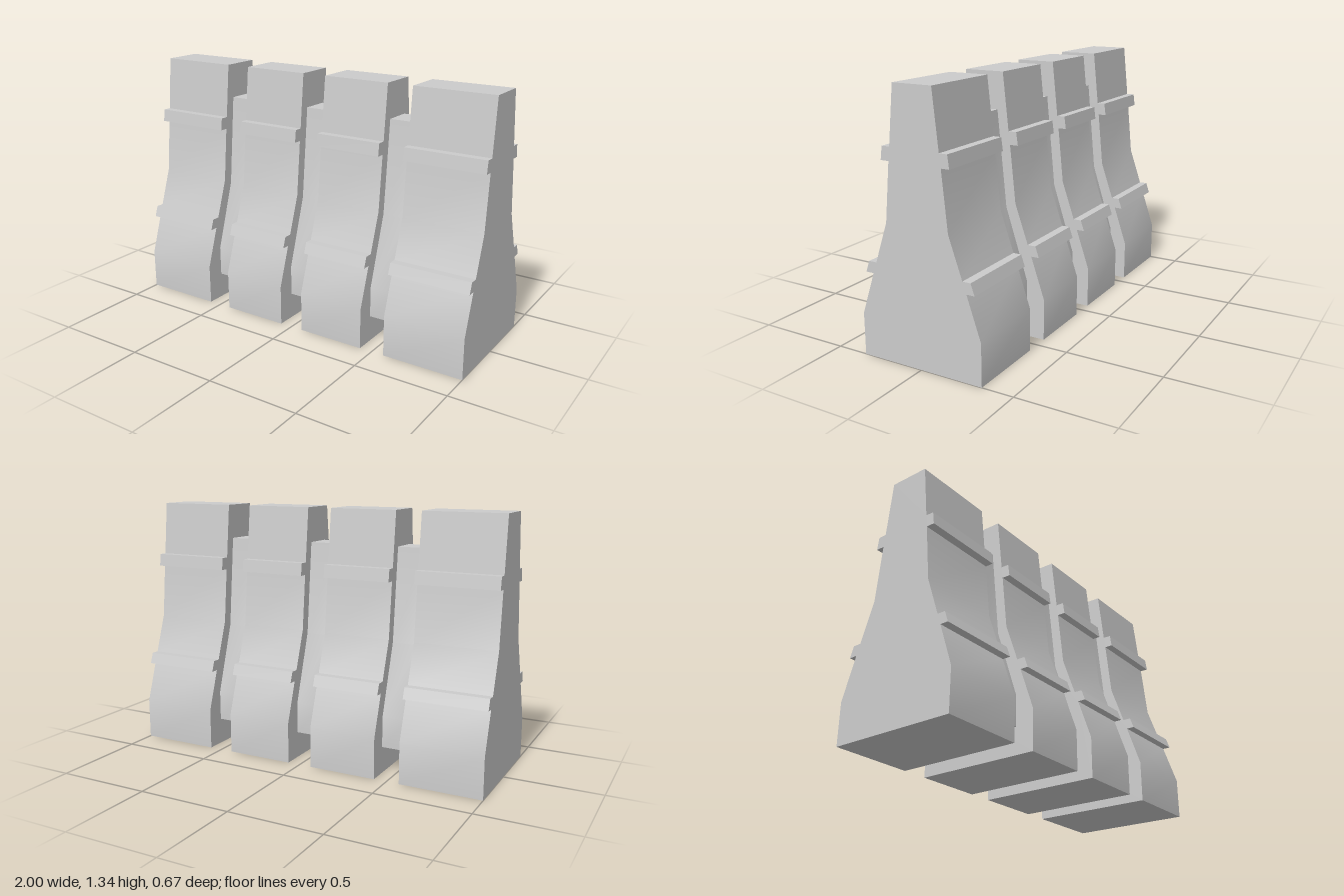
import * as THREE from 'three';
import { toCreasedNormals } from 'three/addons/utils/BufferGeometryUtils.js';

const material = new THREE.MeshStandardMaterial({ color: 0xcccccc });

// Half profiles as [z, y], bottom to top; mirrored to the other side
const blockProfile = [
  [0.335, 0], [0.335, 0.215],
  [0.262, 0.43], [0.305, 0.43], [0.285, 0.487], [0.242, 0.487], // lower ledge
  [0.172, 0.69],
  [0.143, 0.982], [0.187, 0.982], [0.178, 1.048], [0.135, 1.048], // upper ledge
  [0.105, 1.335],
];
const linkProfile = [[0.237, 0.14], [0.237, 0.3], [0.12, 0.665], [0.073, 1.15]];

// Extrude a mirrored profile along x from x0 to x1
function slab(name, profile, x0, x1) {
  const mirrored = profile.map(([z, y]) => [-z, y]).reverse();
  const shape = new THREE.Shape([...profile, ...mirrored].map(([z, y]) => new THREE.Vector2(z, y)));
  const geometry = new THREE.ExtrudeGeometry(shape, { depth: x1 - x0, bevelEnabled: false });
  geometry.rotateY(-Math.PI / 2).translate(x1, 0, 0);
  const mesh = new THREE.Mesh(toCreasedNormals(geometry, 0.5), material);
  mesh.name = name;
  return mesh;
}

export function createModel() {
  const group = new THREE.Group();
  group.name = 'barrier';

  // Four tapered blocks, the outer ones slightly wider
  const blocks = [[-1, -0.568], [-0.432, -0.067], [0.067, 0.432], [0.568, 1]];
  blocks.forEach(([x0, x1], i) => group.add(slab(`block${i + 1}`, blockProfile, x0, x1)));

  // Recessed links filling the gaps
  for (let i = 0; i < blocks.length - 1; i++) {
    group.add(slab(`link${i + 1}`, linkProfile, blocks[i][1], blocks[i + 1][0]));
  }
  return group;
}
